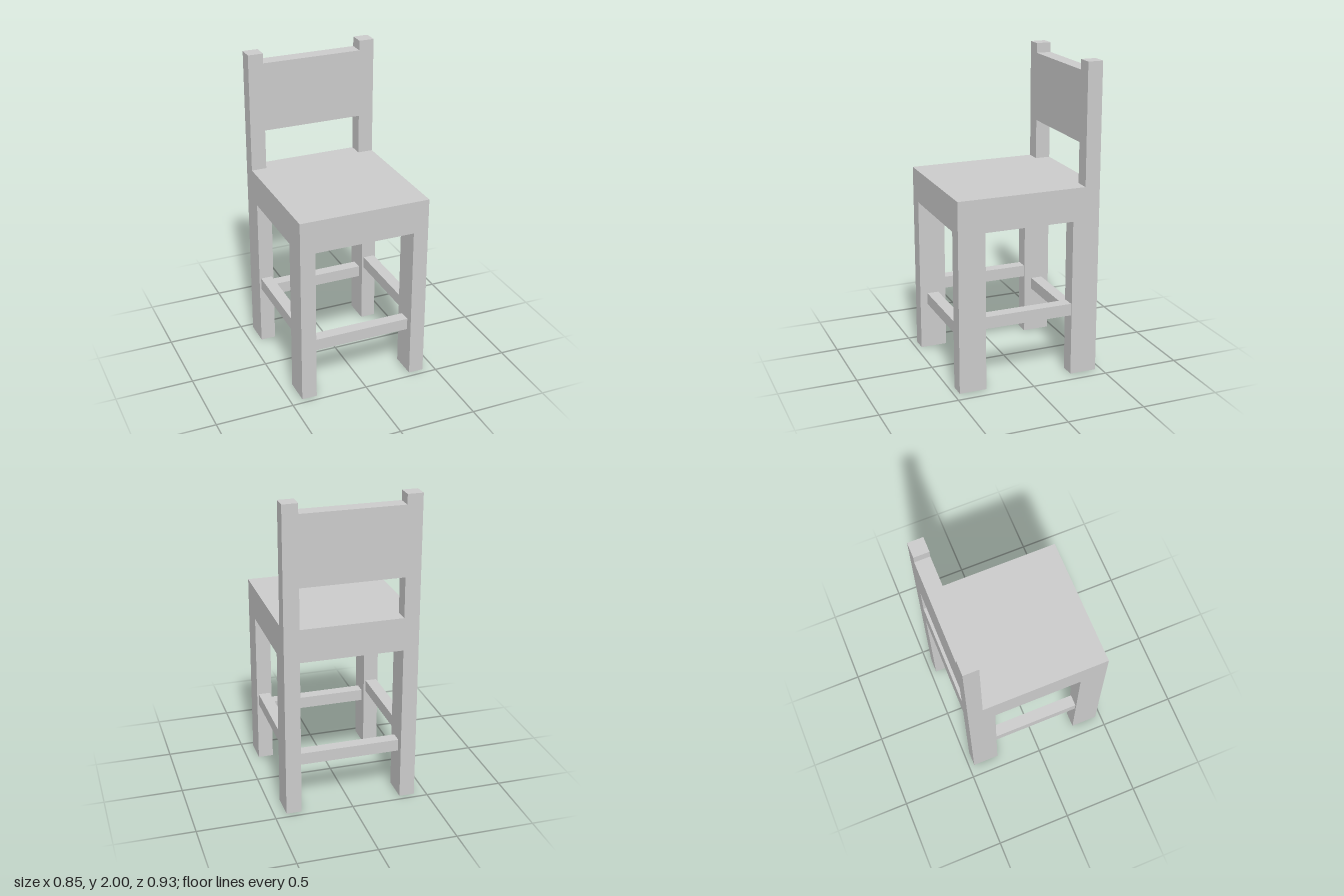
import * as THREE from 'three';

export function createModel() {
  const chair = new THREE.Group();
  chair.name = 'chair';
  const material = new THREE.MeshStandardMaterial({ color: 0xcccccc, flatShading: true });

  // Box given by its min and max along each axis
  function block(name, [x0, x1], [y0, y1], [z0, z1]) {
    const mesh = new THREE.Mesh(new THREE.BoxGeometry(x1 - x0, y1 - y0, z1 - z0), material);
    mesh.position.set((x0 + x1) / 2, (y0 + y1) / 2, (z0 + z1) / 2);
    mesh.name = name;
    chair.add(mesh);
  }
  // Range mirrored to the chosen side of zero
  const side = (s, a, b) => (s > 0 ? [a, b] : [-b, -a]);

  const W = 0.423, D = 0.463;          // half width and half depth
  const inX = 0.325, inZ = 0.288;      // inner faces of the legs
  const seatY = [1.02, 1.232];
  const backZ = [-D, -0.366];

  block('seat', [-W, W], seatY, [-D, D]);
  block('backrest', [-inX, inX], [1.492, 1.937], backZ);

  for (const s of [1, -1]) {
    const label = s > 0 ? 'left' : 'right';
    const x = side(s, inX, W);
    block(label + 'FrontLeg', x, [0, seatY[0]], [inZ, D]);
    block(label + 'BackLeg', x, [0, seatY[0]], [-D, -inZ]);
    block(label + 'BackPost', x, [seatY[1], 2], backZ);
    // Side stretchers sit a little higher than the front and back ones
    block(label + 'Stretcher', side(s, 0.337, 0.412), [0.398, 0.476], [-inZ, inZ]);
    block(s > 0 ? 'frontStretcher' : 'backStretcher', [-inX, inX], [0.305, 0.382], side(s, 0.338, 0.414));
  }
  return chair;
}
